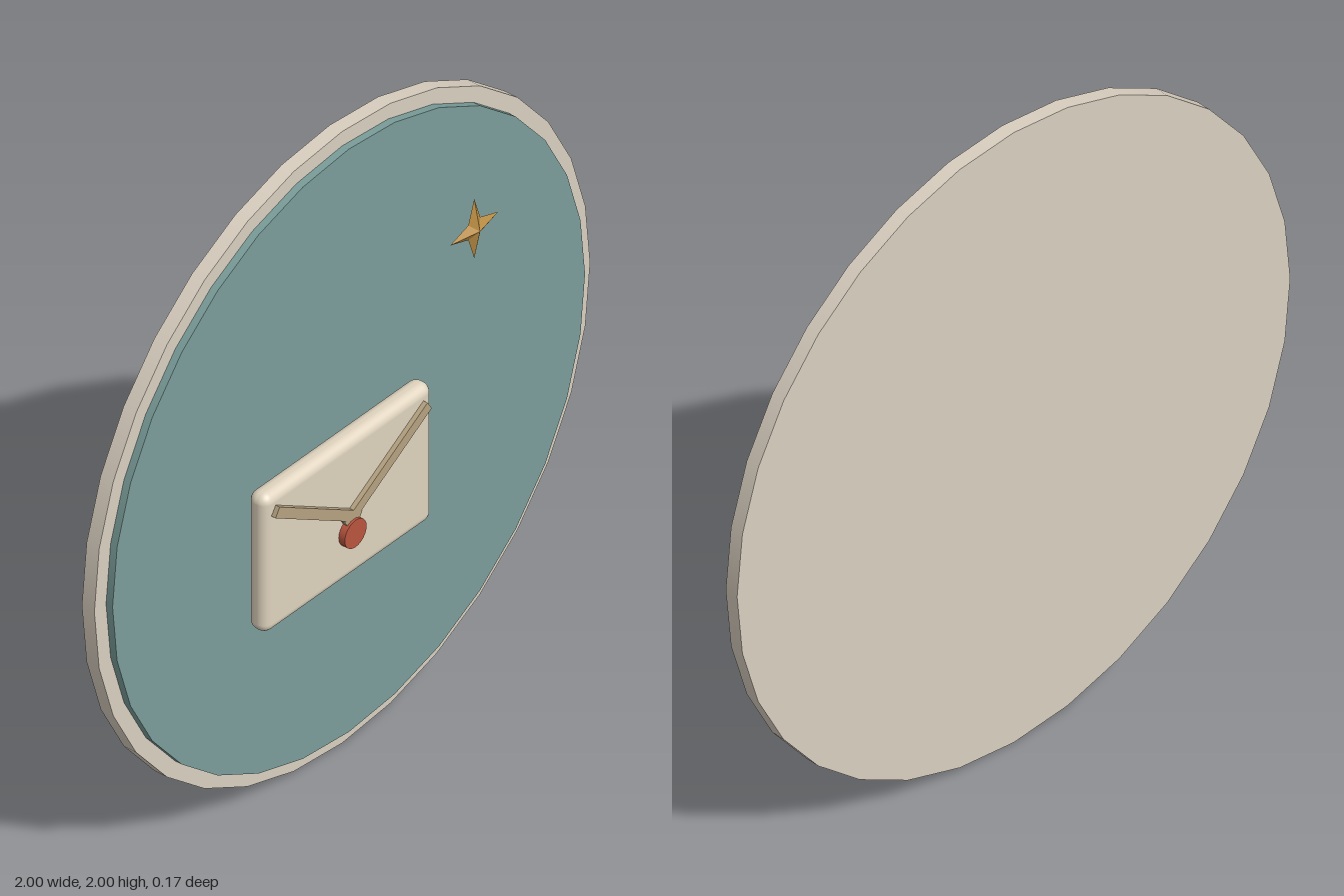
import * as THREE from 'three';
import { RoundedBoxGeometry } from 'three/addons/geometries/RoundedBoxGeometry.js';

const ENVELOPE = { x: -0.092, y: 0.865, z: 0.03 };

function part(parent, name, geometry, color, x, y, z, flatShading = false) {
  const mesh = new THREE.Mesh(geometry, new THREE.MeshStandardMaterial({ color, flatShading }));
  mesh.name = name;
  mesh.position.set(x, y, z);
  parent.add(mesh);
  return mesh;
}

// Cylinder whose round face looks along z
function disc(radius, depth, segments) {
  return new THREE.CylinderGeometry(radius, radius, depth, segments).rotateX(Math.PI / 2);
}

// Four-pointed star: a ring of alternating radii joined to a front and a back apex
function starGeometry(outer, inner, halfDepth) {
  const ring = [];
  for (let i = 0; i < 8; i++) {
    const r = i % 2 ? inner : outer, a = i * Math.PI / 4;
    ring.push([r * Math.cos(a), r * Math.sin(a), 0]);
  }
  const positions = [];
  for (let i = 0; i < 8; i++) {
    const a = ring[i], b = ring[(i + 1) % 8];
    positions.push(...a, ...b, 0, 0, halfDepth, ...b, ...a, 0, 0, -halfDepth);
  }
  const geometry = new THREE.BufferGeometry();
  geometry.setAttribute('position', new THREE.Float32BufferAttribute(positions, 3));
  geometry.computeVertexNormals();
  return geometry;
}

export function createModel() {
  const model = new THREE.Group();
  model.name = 'envelopeBadge';

  // Round plate with a thinner coloured face in front
  part(model, 'backPlate', disc(1, 0.043, 32), 0xd9cfc0, 0, 1, -0.062);
  part(model, 'plateFace', disc(0.953, 0.024, 32), 0x7a9d9a, 0, 1, -0.03);

  // Envelope with two crossing flap strips and a seal
  const envelope = new THREE.Group();
  envelope.name = 'envelope';
  envelope.position.set(ENVELOPE.x, ENVELOPE.y, ENVELOPE.z);
  model.add(envelope);
  part(envelope, 'envelopeBody', new RoundedBoxGeometry(0.68, 0.45, 0.066, 4, 0.03), 0xdfd3be, 0, 0, 0);
  for (const side of [-1, 1]) {
    const strip = part(envelope, side < 0 ? 'rightFlapStrip' : 'leftFlapStrip',
      new THREE.BoxGeometry(0.39, 0.032, 0.018), 0xb5a280, side * 0.14, 0.072, 0.038);
    strip.rotation.z = side * 0.546;
  }
  part(envelope, 'seal', disc(0.044, 0.024, 24), 0xb9553f, 0, -0.067, 0.042);

  // Star floating in front of the plate
  part(model, 'star', starGeometry(0.097, 0.034, 0.02), 0xb98c42, 0.452, 1.457, 0.028, true);

  return model;
}
